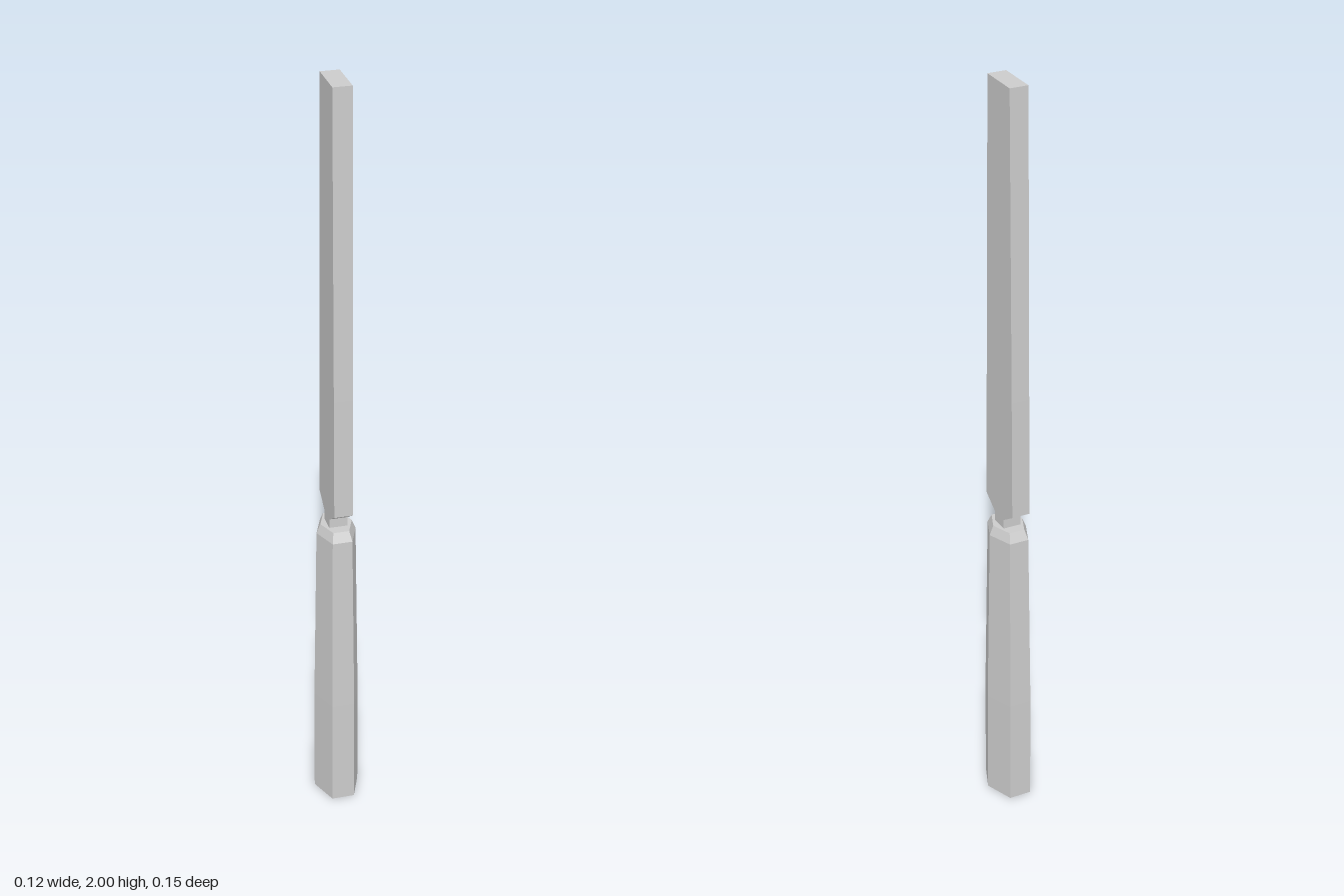
import * as THREE from 'three';

export function createModel() {
  const group = new THREE.Group();
  const material = new THREE.MeshStandardMaterial({ color: 0xcccccc, flatShading: true });

  const add = (name, geometry) => {
    const mesh = new THREE.Mesh(geometry, material);
    mesh.name = name;
    group.add(mesh);
  };

  // Handle: six-sided, tapering upwards, with a chamfered top
  const handleProfile = [[0, 0], [1, 0], [0.99, 0.3], [0.86, 0.795], [0.69, 0.82], [0, 0.82]]
    .map(([r, y]) => new THREE.Vector2(r, y));
  const handle = new THREE.LatheGeometry(handleProfile, 6, Math.PI / 6);
  handle.scale(0.06, 1, 0.0866);
  add('handle', handle);

  // Blade with its narrow neck: a flat side outline, mirrored and extruded across x
  const thickness = 0.048;
  const half = [[0.024, 0.815], [0.024, 0.845], [0.073, 0.877], [0.069, 1.2], [0.057, 2]];
  const outline = [...half, ...half.map(([z, y]) => [-z, y]).reverse()]
    .map(([z, y]) => new THREE.Vector2(z, y));
  const blade = new THREE.ExtrudeGeometry(new THREE.Shape(outline), {
    depth: thickness,
    bevelEnabled: false,
  });
  blade.translate(0, 0, -thickness / 2);
  blade.rotateY(-Math.PI / 2);
  add('blade', blade);

  return group;
}
